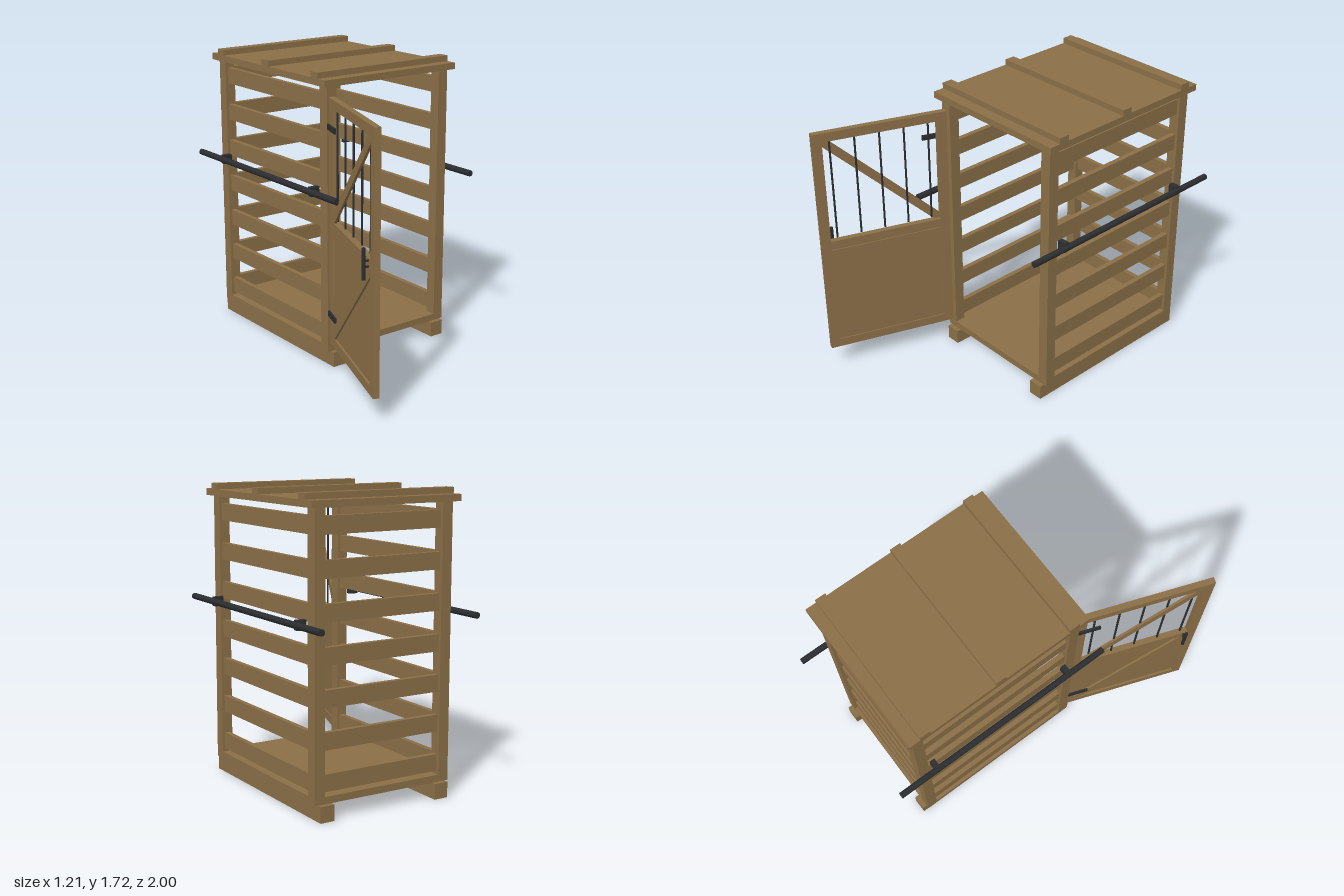
import * as THREE from 'three';

const wood = new THREE.MeshStandardMaterial({ color: 0x8b6f47 });
wood.name = 'wood';
const iron = new THREE.MeshStandardMaterial({ color: 0x2b2d30 });
iron.name = 'dark iron';

function add(parent, name, geometry, material, x, y, z) {
  const mesh = new THREE.Mesh(geometry, material);
  mesh.name = name;
  mesh.position.set(x, y, z);
  parent.add(mesh);
  return mesh;
}

// box given by its limits on each axis
function box(parent, name, material, [x0, x1], [y0, y1], [z0, z1]) {
  return add(parent, name, new THREE.BoxGeometry(x1 - x0, y1 - y0, z1 - z0), material,
    (x0 + x1) / 2, (y0 + y1) / 2, (z0 + z1) / 2);
}

function rod(parent, name, radius, length, x, y, z, sides = 8) {
  return add(parent, name, new THREE.CylinderGeometry(radius, radius, length, sides), iron, x, y, z);
}

const CX = 0.092; // crate centre line
const POST = 0.065;
const HALF = 0.436;
const FRONT = 0.26, BACK = -0.84;

function createCrate() {
  const crate = new THREE.Group();
  crate.name = 'crate';
  box(crate, 'floor', wood, [CX - HALF, CX + HALF], [0.09, 0.13], [BACK, FRONT]);
  box(crate, 'roof', wood, [CX - 0.47, CX + 0.47], [1.643, 1.681], [-0.868, 0.288]);
  for (const z of [0.19, -0.29, -0.77]) {
    box(crate, 'roofBatten', wood, [CX - 0.47, CX + 0.47], [1.681, 1.715], [z - 0.032, z + 0.032]);
  }

  for (const s of [-1, 1]) {
    const side = new THREE.Group();
    side.name = s < 0 ? 'rightSide' : 'leftSide';
    crate.add(side);
    const px = CX + s * (HALF - POST / 2);

    // skid and corner posts
    box(side, 'skid', wood, [CX + s * 0.372 - 0.043, CX + s * 0.372 + 0.043], [0, 0.09], [-0.868, 0.288]);
    for (const z of [FRONT - POST, BACK]) {
      box(side, 'cornerPost', wood, [px - POST / 2, px + POST / 2], [0.13, 1.643], [z, z + POST]);
    }
    // side slats
    for (let i = 0; i < 7; i++) {
      const y = 0.197 + i * 0.2255;
      box(side, 'sideSlat', wood, [px - 0.015, px + 0.015], [y - 0.048, y + 0.048],
        [BACK + POST, FRONT - POST]);
    }
    // carrying pole held by two brackets
    const poleX = CX + s * 0.491;
    rod(side, 'carryingPole', 0.0185, 1.423, poleX, 1.039, -0.2885, 12).rotation.x = Math.PI / 2;
    for (const z of [0.172, -0.748]) {
      const inner = CX + s * HALF;
      box(side, 'poleBracket', iron, [Math.min(inner, poleX), Math.max(inner, poleX)],
        [1.012, 1.066], [z - 0.016, z + 0.016]);
    }
  }

  // back slats
  for (let i = 0; i < 7; i++) {
    const y = 0.197 + i * 0.2255, z = BACK + POST / 2;
    box(crate, 'backSlat', wood, [CX - HALF + POST, CX + HALF - POST], [y - 0.048, y + 0.048],
      [z - 0.015, z + 0.015]);
  }
  return crate;
}

// door lies in its local xy plane: +x is the free edge, +z the outer face
function createDoor() {
  const door = new THREE.Group();
  door.name = 'door';
  const W = 0.39, IN = 0.333, T = 0.0175;
  const thick = [-T, T];

  // stiles and rails
  box(door, 'hingeStile', wood, [-W, -IN], [0.147, 1.582], thick);
  box(door, 'freeStile', wood, [IN, W], [0.147, 1.582], thick);
  for (const [y0, y1] of [[0.147, 0.2], [0.834, 0.889], [1.528, 1.582]]) {
    box(door, 'rail', wood, [-IN, IN], [y0, y1], thick);
  }
  box(door, 'panel', wood, [-IN + 0.002, IN - 0.002], [0.2, 0.826], [-0.011, 0.005]);

  // diagonal braces, corner to corner
  for (const [y0, y1] of [[0.2, 0.834], [0.889, 1.528]]) {
    const c = 0.034;
    const shape = new THREE.Shape([[-IN, y0], [-IN + c, y0], [IN, y1 - c], [IN, y1], [IN - c, y1], [-IN, y0 + c]]
      .map(([x, y]) => new THREE.Vector2(x, y)));
    add(door, 'diagonalBrace', new THREE.ExtrudeGeometry(shape, { depth: 0.015, bevelEnabled: false }),
      wood, 0, 0, 0.002);
  }

  // window bars
  for (let i = -2; i <= 2; i++) rod(door, 'windowBar', 0.006, 0.625, i * 0.143 + 0.003, 1.217, 0);

  // handle on two standoffs
  rod(door, 'handle', 0.01, 0.172, 0.31, 0.862, 0.045);
  for (const y of [0.846, 0.878]) {
    box(door, 'handleStandoff', iron, [0.305, 0.315], [y - 0.005, y + 0.005], [T, 0.045]);
  }
  // hinge straps
  for (const y of [0.33, 1.42]) {
    box(door, 'hingeStrap', iron, [-W, -0.253], [y - 0.015, y + 0.015], [T, T + 0.012]);
  }

  door.position.set(-0.4465, 0, 0.63);
  door.rotation.y = THREE.MathUtils.degToRad(-110);
  return door;
}

export function createModel() {
  const model = new THREE.Group();
  model.name = 'slattedCrate';
  model.add(createCrate(), createDoor());
  return model;
}
